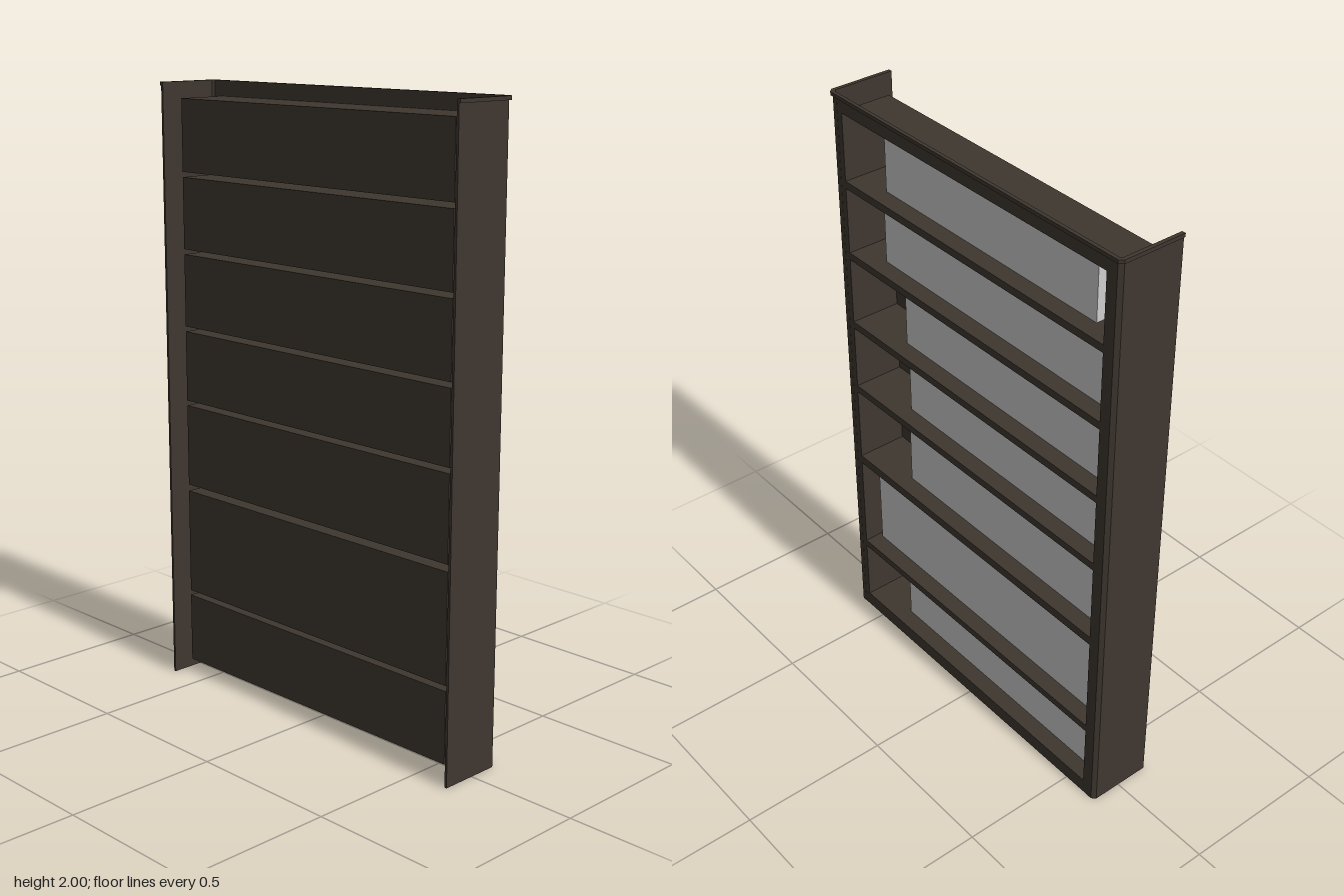
import * as THREE from 'three';

const wood = new THREE.MeshStandardMaterial({ color: 0x3f3730 });
wood.name = 'dark wood';
const paper = new THREE.MeshStandardMaterial({ color: 0xcfcfcf });
paper.name = 'pale grey';

// Each bay: opening bottom, opening top, block top, block z from, block z to
const bays = [
  [0.05, 0.275, 0.272, -0.54, 0.405],
  [0.3, 0.645, 0.58, -0.574, 0.56],
  [0.675, 0.94, 0.907, -0.565, 0.37],
  [0.965, 1.19, 1.187, -0.574, 0.36],
  [1.215, 1.445, 1.427, -0.565, 0.37],
  [1.47, 1.695, 1.692, -0.533, 0.462],
  [1.72, 1.945, 1.942, -0.49, 0.447],
];
const HALF = 0.578;    // half width of the openings
const BACK = -0.07;    // rear of the compartments
const FACE = 0.1;      // rear of the front frame
const WALL = 0.004;

function add(parent, name, geometry, material) {
  const mesh = new THREE.Mesh(geometry, material);
  mesh.name = name;
  parent.add(mesh);
  return mesh;
}

// Box given by its limits on each axis
function block(parent, name, x0, x1, y0, y1, z0, z1, material) {
  const mesh = add(parent, name, new THREE.BoxGeometry(x1 - x0, y1 - y0, z1 - z0), material);
  mesh.position.set((x0 + x1) / 2, (y0 + y1) / 2, (z0 + z1) / 2);
}

// Side panel with a chamfered return at the front; plan drawn as x, z
function sidePanel(side, y0, y1, grow) {
  const o = 0.63 + grow, f = 0.107 + grow, i = 0.622;
  const plan = [[-0.112, o], [f - 0.012, o], [f, o - 0.012], [f, 0.6], [FACE, 0.6],
    [FACE, i - 0.007], [FACE - 0.007, i], [-0.112, i]];
  const shape = new THREE.Shape(plan.map(([x, z]) => new THREE.Vector2(x, -z * side)));
  const g = new THREE.ExtrudeGeometry(shape, { depth: y1 - y0, bevelEnabled: false });
  return g.rotateX(-Math.PI / 2).translate(0, y0, 0);
}

export function createModel() {
  const model = new THREE.Group();
  model.name = 'bookcase';

  // Side panels with the slightly proud cap moulding
  for (const side of [-1, 1]) {
    add(model, 'sidePanel', sidePanel(side, 0, 1.99, 0), wood);
    add(model, 'sideCap', sidePanel(side, 1.988, 2, 0.005), wood);
  }
  block(model, 'frontCap', FACE, 0.112, 1.988, 2, -0.6, 0.6, wood);

  // Front frame with one opening per bay
  const face = new THREE.Shape();
  face.moveTo(-0.602, 0).lineTo(0.602, 0).lineTo(0.602, 1.99).lineTo(-0.602, 1.99).closePath();
  for (const [y0, y1] of bays) {
    const hole = new THREE.Path();
    hole.moveTo(-HALF, y0).lineTo(-HALF, y1).lineTo(HALF, y1).lineTo(HALF, y0).closePath();
    face.holes.push(hole);
  }
  const frame = new THREE.ExtrudeGeometry(face, { depth: 0.0065, bevelEnabled: false });
  frame.rotateY(Math.PI / 2).translate(FACE, 0, 0);
  add(model, 'frontFrame', frame, wood);

  // Open-fronted compartments, each holding one row of books
  bays.forEach(([y0, y1, top, z0, z1], n) => {
    const bay = new THREE.Group();
    bay.name = 'compartment' + (n + 1);
    const out = HALF + WALL;
    block(bay, 'shelf', BACK, FACE, y0 - WALL, y0, -out, out, wood);
    block(bay, 'ceiling', BACK, FACE, y1, y1 + WALL, -out, out, wood);
    block(bay, 'backPanel', BACK, BACK + WALL, y0, y1, -out, out, wood);
    block(bay, 'leftWall', BACK + WALL, FACE, y0, y1, HALF, out, wood);
    block(bay, 'rightWall', BACK + WALL, FACE, y0, y1, -out, -HALF, wood);
    block(bay, 'bookRow', BACK + 0.006, 0.05, y0 + 0.001, top, z0, z1, paper);
    model.add(bay);
  });
  return model;
}
